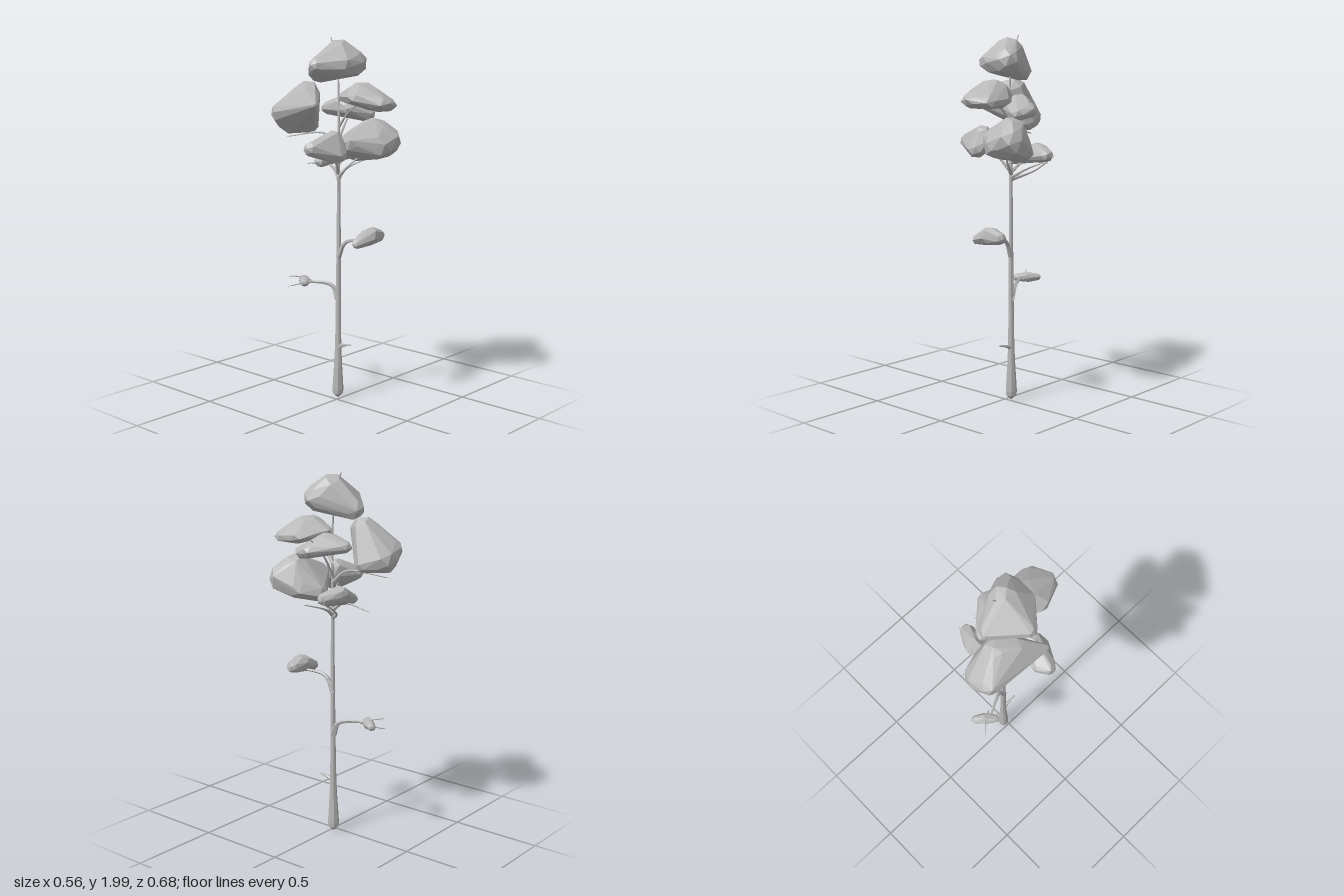
import * as THREE from 'three';
import { ConvexGeometry } from 'three/addons/geometries/ConvexGeometry.js';

const grey = new THREE.MeshStandardMaterial({ color: 0xb8b8b8 });
grey.name = 'grey';

function addMesh(parent, name, geometry) {
  const mesh = new THREE.Mesh(geometry, grey);
  mesh.name = name;
  parent.add(mesh);
}

function seeded(seed) {
  let s = seed * 7919 + 17;
  return () => (s = (s * 16807) % 2147483647) / 2147483647;
}

// Faceted hull around a few uneven lobes, each given as x, y, z, radius; squash flattens the lobes
function foliage(seed, squash, lobes) {
  const rand = seeded(seed);
  const points = [];
  const count = 20;
  for (const [x, y, z, radius] of lobes) {
    const turn = rand() * 6;
    for (let i = 0; i < count; i++) {
      const h = 1 - (2 * (i + 0.5)) / count;
      const ring = Math.sqrt(1 - h * h);
      const a = i * 2.4 + turn;
      const r = radius * (0.97 + rand() * 0.1);
      points.push(new THREE.Vector3(x + Math.cos(a) * ring * r, y + h * r * squash, z + Math.sin(a) * ring * r));
    }
  }
  return new ConvexGeometry(points);
}

// Faceted tube along a curve whose radius follows a rule of the fraction t
function limb(path, radiusAt, segments, sides) {
  const curve = new THREE.CatmullRomCurve3(path.map((p) => new THREE.Vector3(...p)));
  const tube = new THREE.TubeGeometry(curve, segments, 1, sides);
  const pos = tube.attributes.position;
  const v = new THREE.Vector3();
  for (let i = 0; i < pos.count; i++) {
    const t = Math.floor(i / (sides + 1)) / segments;
    const centre = curve.getPointAt(t);
    v.fromBufferAttribute(pos, i).sub(centre).multiplyScalar(radiusAt(t)).add(centre);
    pos.setXYZ(i, v.x, v.y, v.z);
  }
  const faceted = tube.toNonIndexed();
  faceted.computeVertexNormals();
  return faceted;
}

// Thick at the root, thin after the elbow, closed at the tip
const taper = (root, tip) => (t) => (t === 1 ? 0 : tip + (root - tip) * (1 - t) ** 2);

// Rounded swollen foot, then a slow taper to the leader
const trunkRadius = (t) =>
  Math.sqrt(Math.min(1, t / 0.015)) * (0.003 + 0.016 * (1 - t) + 0.013 * Math.exp(-((t / 0.1) ** 2)));

export function createModel() {
  const tree = new THREE.Group();
  tree.name = 'tree';

  // Trunk and thin leader
  addMesh(tree, 'trunk', limb(
    [[0.03, 0.005, -0.018], [0.03, 1.2, -0.013], [0.025, 1.85, -0.02], [0.031, 1.998, -0.07]],
    trunkRadius, 80, 8));

  // Branches grow from the trunk through an elbow to a tip
  const branch = (name, y, elbow, end, root, tip = 0.003) =>
    addMesh(tree, name, limb([[0.03, y, -0.015], elbow, end], taper(root, tip), 12, 5));
  branch('lowStub', 0.3, [0.03, 0.315, 0.02], [0.03, 0.328, 0.082], 0.016, 0.005);
  branch('lowBackBranch', 0.57, [0.025, 0.645, -0.055], [-0.05, 0.66, -0.2], 0.02, 0.007);
  branch('midFrontBranch', 0.81, [0.035, 0.9, 0.035], [0.06, 0.92, 0.18], 0.016, 0.007);
  branch('lowerCrownBranch', 1.23, [0.12, 1.28, -0.11], [0.255, 1.37, -0.115], 0.012);
  branch('backTwig', 1.27, [0.04, 1.32, -0.1], [0.065, 1.3, -0.29], 0.011);
  branch('sideTwig', 1.24, [0.12, 1.29, -0.035], [0.262, 1.335, -0.005], 0.011);
  branch('upperBackBranch', 1.42, [0.01, 1.485, -0.09], [-0.08, 1.46, -0.31], 0.01);
  branch('lowerRightBranch', 1.27, [-0.05, 1.37, 0.03], [-0.16, 1.43, 0.07], 0.011);
  branch('lowerFrontBranch', 1.26, [0.06, 1.33, 0.05], [0.11, 1.4, 0.12], 0.012);
  branch('upperLeftBranch', 1.45, [0.11, 1.58, -0.01], [0.2, 1.675, 0.01], 0.01);
  branch('upperFrontBranch', 1.52, [0.03, 1.6, 0.05], [0.03, 1.67, 0.15], 0.009);

  // Forked shoots at the end of the low back branch
  for (const side of [-1, 1]) {
    addMesh(tree, 'lowShoot', limb(
      [[-0.01, 0.66, -0.17], [-0.05, 0.66 + side * 0.02, -0.23], [-0.1, 0.655 + side * 0.03, -0.28]],
      taper(0.005, 0.003), 6, 5));
  }

  // Foliage clumps
  let seed = 0;
  const clump = (name, squash, ...lobes) => addMesh(tree, name, foliage(++seed, squash, lobes));
  clump('topFoliage', 1,
    [-0.15, 1.855, -0.01, 0.038], [0.03, 1.92, 0, 0.07], [0, 1.81, -0.13, 0.055],
    [0.07, 1.865, 0.06, 0.07], [-0.03, 1.855, 0.07, 0.06]);
  clump('backFoliage', 1,
    [-0.215, 1.655, 0.038, 0.018], [-0.13, 1.7, -0.07, 0.05], [-0.07, 1.7, -0.15, 0.07],
    [-0.07, 1.55, -0.27, 0.072], [-0.15, 1.6, -0.27, 0.055], [-0.01, 1.53, -0.19, 0.048]);
  clump('upperFrontFoliage', 0.6,
    [0.03, 1.66, 0.27, 0.07], [0.1, 1.65, 0.25, 0.062], [-0.02, 1.69, 0.17, 0.065],
    [0.04, 1.72, 0.14, 0.08], [0.1, 1.655, 0.16, 0.062], [0.03, 1.685, 0.05, 0.05]);
  clump('upperLeftFoliage', 0.75,
    [0.16, 1.588, 0.07, 0.05], [0.08, 1.65, -0.02, 0.055], [0.06, 1.62, -0.11, 0.045],
    [0.18, 1.6, 0.02, 0.045], [0.06, 1.62, 0.03, 0.04]);
  clump('lowerBackFoliage', 0.9,
    [0.12, 1.385, -0.135, 0.05], [0.2, 1.365, -0.1, 0.04], [-0.02, 1.335, -0.1, 0.035]);
  clump('lowerFrontFoliage', 1,
    [0.16, 1.5, 0.13, 0.078], [0.2, 1.45, 0.18, 0.08], [0.015, 1.45, 0.1, 0.065],
    [0.13, 1.385, 0, 0.052], [0.12, 1.425, 0.19, 0.072], [0.19, 1.4, 0.08, 0.06]);
  clump('lowerRightFoliage', 0.9,
    [-0.24, 1.43, 0.04, 0.042], [-0.1, 1.475, 0.07, 0.05], [-0.11, 1.395, 0.1, 0.055],
    [-0.2, 1.43, 0.01, 0.035], [-0.07, 1.44, 0.07, 0.04]);
  clump('middleFoliage', 1,
    [-0.038, 0.92, 0.18, 0.026], [0.06, 0.948, 0.185, 0.05], [0.13, 0.943, 0.185, 0.036]);
  clump('lowFoliage', 0.9,
    [-0.07, 0.657, -0.175, 0.024], [-0.03, 0.657, -0.215, 0.032], [0.005, 0.657, -0.26, 0.022]);

  return tree;
}
